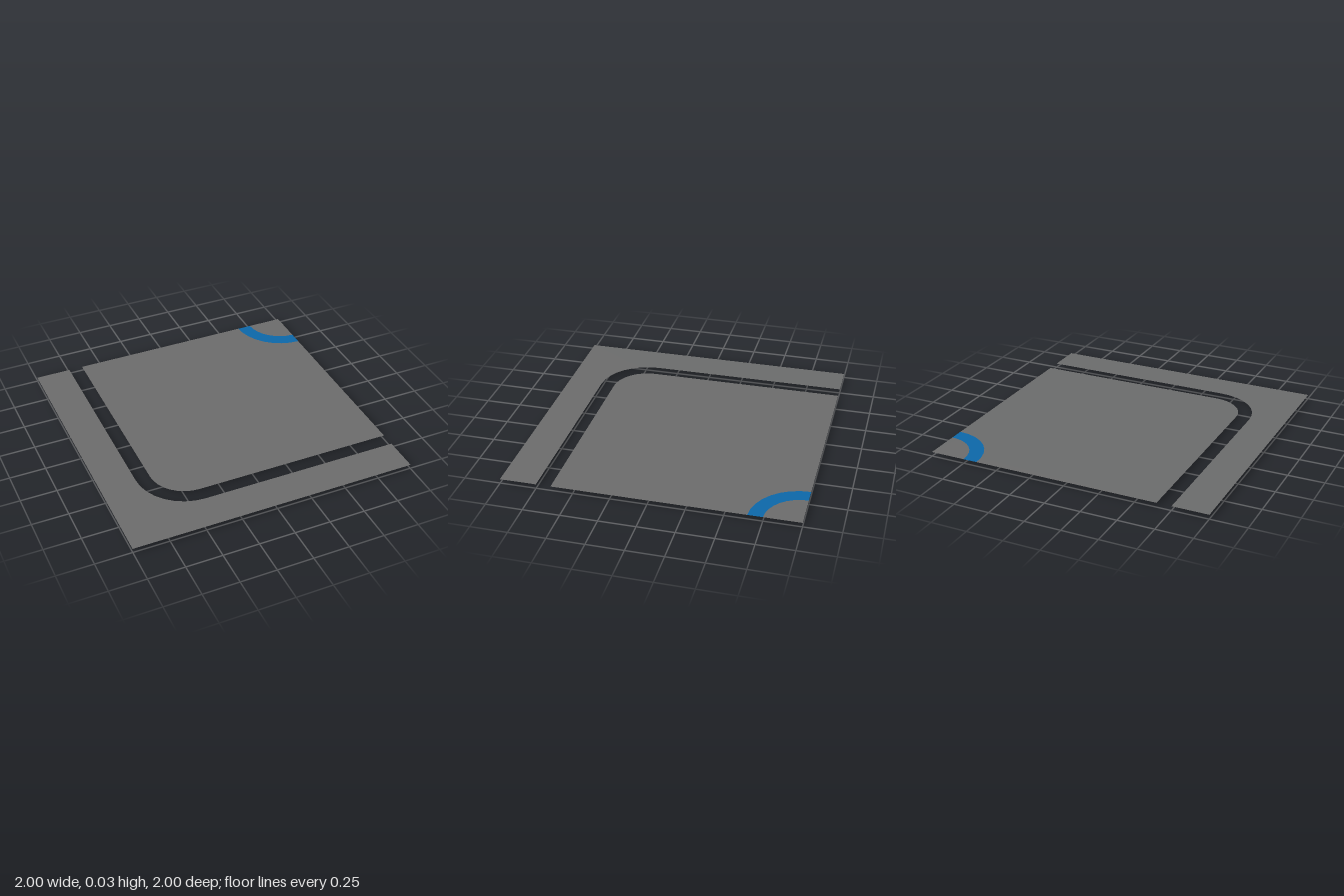
import * as THREE from 'three';

const DEG = Math.PI / 180;
const TOP = 0.03, BASE = 0.01;

// Points along an arc in the ground plane (x, z), angles in degrees
function arc(cx, cz, r, from, to, n = 8) {
  return Array.from({ length: n + 1 }, (_, i) => {
    const a = (from + (to - from) * i / n) * DEG;
    return new THREE.Vector2(cx + r * Math.cos(a), cz + r * Math.sin(a));
  });
}

const pt = (x, z) => new THREE.Vector2(x, z);

// Flat sheet facing down, outlined in (x, z)
function sheet(points, y) {
  return new THREE.ShapeGeometry(new THREE.Shape(points)).rotateX(Math.PI / 2).translate(0, y, 0);
}

// Outline of the raised underside panel, drawn in by d
function panelOutline(d) {
  const lo = -0.42, hi = 0.94, r = 0.13, e = 0.08, f = 0.08, R = 0.56;
  const off = 1 - (hi - f);
  const reach = Math.sqrt((R + f) ** 2 - off ** 2);
  const tilt = Math.atan2(off, reach) / DEG;
  return [
    ...arc(hi - e, -lo - e, e - d, 0, 90, 6),
    ...arc(lo + r, -lo - r, r - d, 90, 180, 6),
    ...arc(lo + e, -hi + e, e - d, 180, 270, 6),
    ...arc(1 - reach, -hi + f, f - d, 270, 360 - tilt, 6),
    ...arc(1, -1, R + d, 180 - tilt, 90 + tilt, 12).slice(1, -1),
    ...arc(hi - f, -1 + reach, f - d, 270 + tilt, 360, 6),
  ];
}

// Sloping wall between two matching outlines
function slopedWall(upper, lower) {
  const n = upper.length, pos = [], index = [];
  upper.forEach(p => pos.push(p.x, TOP, p.y));
  lower.forEach(p => pos.push(p.x, BASE, p.y));
  for (let i = 0; i < n; i++) {
    const j = (i + 1) % n;
    index.push(n + i, i, n + j, n + j, i, j);
  }
  const g = new THREE.BufferGeometry();
  g.setAttribute('position', new THREE.Float32BufferAttribute(pos, 3));
  g.setIndex(index);
  g.computeVertexNormals();
  return g;
}

export function createModel() {
  const group = new THREE.Group();
  const grey = new THREE.MeshStandardMaterial({ color: 0x6d6e6e, side: THREE.DoubleSide });
  grey.name = 'grey';
  const blue = new THREE.MeshStandardMaterial({ color: 0x0d69ab, side: THREE.DoubleSide });
  blue.name = 'blue';

  function add(name, geometry, material) {
    const mesh = new THREE.Mesh(geometry, material);
    mesh.name = name;
    group.add(mesh);
    return mesh;
  }

  // L-shaped border outside the open slot
  add('borderStrip', sheet([
    pt(-1, -1), pt(-0.75, -1), ...arc(-0.4, 0.4, 0.35, 180, 90),
    pt(1, 0.75), pt(1, 1), pt(-1, 1),
  ], TOP), grey);

  // Main sheet inside the slot, cut away around the blue arc
  add('mainSheet', sheet([
    pt(-0.65, -1), ...arc(1, -1, 0.35, 180, 90),
    pt(1, 0.65), ...arc(-0.4, 0.4, 0.25, 90, 180),
  ], TOP), grey);

  // Blue quarter ring and the grey corner within it
  add('cornerArc', sheet([
    ...arc(1, -1, 0.35, 90, 180), ...arc(1, -1, 0.25, 180, 90),
  ], TOP), blue);
  add('cornerPiece', sheet([pt(1, -1), ...arc(1, -1, 0.25, 90, 180)], TOP), grey);

  // Bevelled panel under the main sheet
  const lower = panelOutline(0.025);
  add('panelBevel', slopedWall(panelOutline(0), lower), grey);
  add('panelBottom', sheet(lower, BASE), grey);

  // Round pads on the underside
  const padShape = new THREE.CylinderGeometry(0.057, 0.057, BASE, 24);
  [[0.78, 0.26], [0.78, -0.3], [0.3, -0.78], [-0.26, -0.78], [-0.26, 0.26]].forEach(([x, z]) => {
    add('pad', padShape, blue).position.set(x, BASE / 2, z);
  });

  return group;
}
